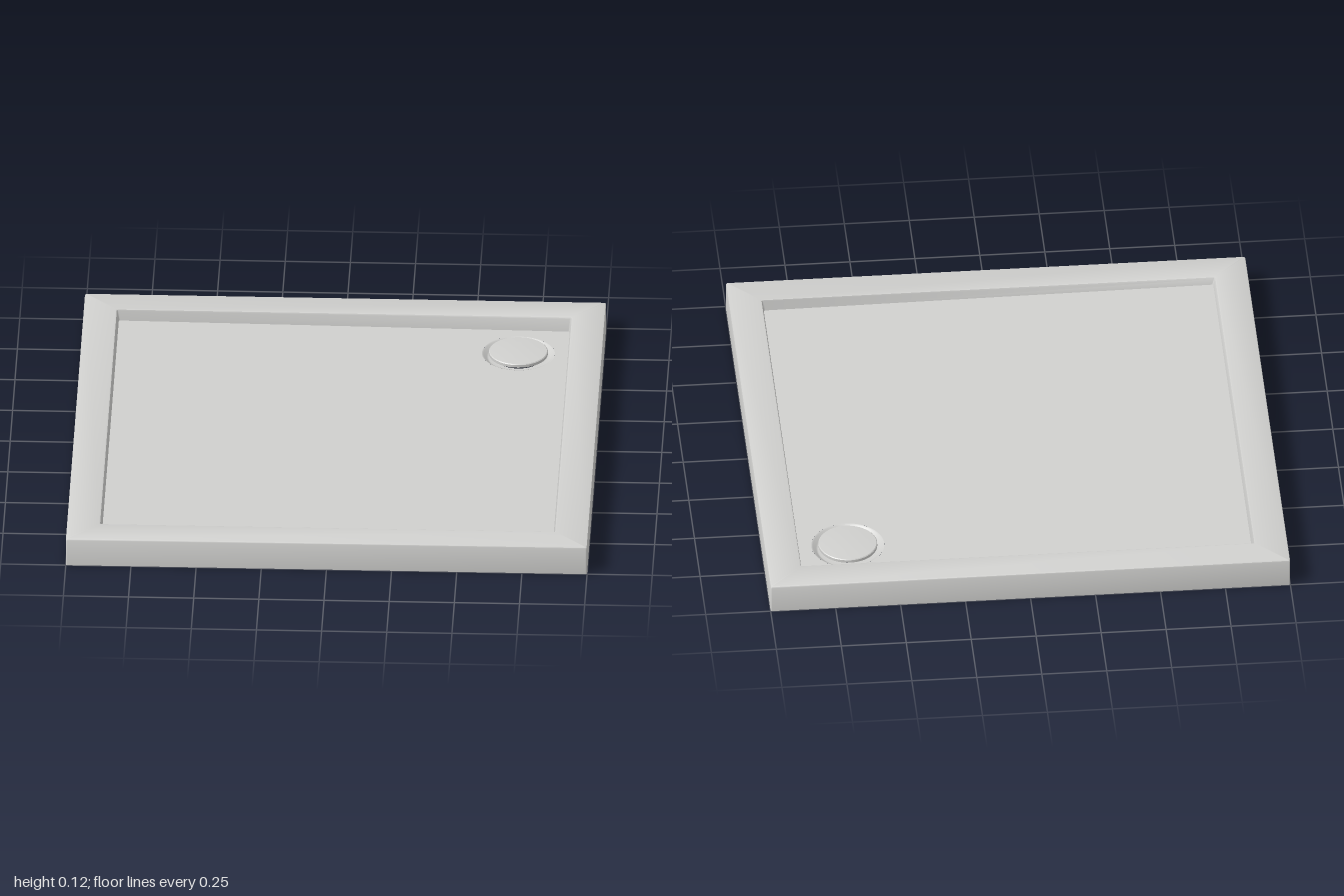
import * as THREE from 'three';
import { toCreasedNormals } from 'three/addons/utils/BufferGeometryUtils.js';

const DRAIN = { x: 0.675, z: -0.675 };

// The floor falls gently towards the drain corner
const floorY = (x, z) => 0.07 + 0.0085 * (z - x);

// Square loop with small rounded corners
function squareLoop(half, radius, heightAt) {
  const points = [];
  for (let corner = 0; corner < 4; corner++) {
    const mid = (corner + 0.5) * Math.PI / 2;
    const cx = Math.sign(Math.cos(mid)) * (half - radius);
    const cz = Math.sign(Math.sin(mid)) * (half - radius);
    for (let i = 0; i <= 4; i++) {
      const a = (corner + i / 4) * Math.PI / 2;
      const x = cx + radius * Math.cos(a), z = cz + radius * Math.sin(a);
      points.push([x, heightAt(x, z), z]);
    }
  }
  return points;
}

// Skin between successive loops
function skin(loops) {
  const n = loops[0].length, index = [];
  for (let r = 0; r < loops.length - 1; r++) {
    for (let j = 0; j < n; j++) {
      const k = (j + 1) % n;
      const a = r * n + j, b = r * n + k;
      index.push(a, a + n, b, b, a + n, b + n);
    }
  }
  const geometry = new THREE.BufferGeometry();
  geometry.setAttribute('position', new THREE.Float32BufferAttribute(loops.flat(2), 3));
  geometry.setIndex(index);
  return toCreasedNormals(geometry, 0.6);
}

export function createModel() {
  const group = new THREE.Group();
  const trayGrey = new THREE.MeshStandardMaterial({ color: 0xd0d0ce, side: THREE.DoubleSide });
  trayGrey.name = 'trayGrey';
  const drainBlack = new THREE.MeshStandardMaterial({ color: 0x303030 });
  drainBlack.name = 'drainBlack';

  const add = (name, geometry, material = trayGrey) => {
    const mesh = new THREE.Mesh(geometry, material);
    mesh.name = name;
    group.add(mesh);
    return mesh;
  };
  const lathe = (profile) => toCreasedNormals(
    new THREE.LatheGeometry(profile.map(([r, y]) => new THREE.Vector2(r, y)), 48), 0.6);

  // Outer wall, flat rim and inner step, open underneath
  const profile = [[1, 0], [1, 0.107], [0.998, 0.112], [0.993, 0.115], [0.878, 0.115], [0.873, 0.113], [0.871, 0.108]];
  const loops = profile.map(([half, y]) => squareLoop(half, 0.006, () => y));
  loops.push(squareLoop(0.865, 0.006, floorY));
  add('rim', skin(loops));

  // Sloping floor with a round opening
  const h = 0.865;
  const outline = new THREE.Shape([[-h, -h], [h, -h], [h, h], [-h, h]].map(([x, y]) => new THREE.Vector2(x, y)));
  const opening = new THREE.Path();
  opening.absarc(DRAIN.x, -DRAIN.z, 0.14, 0, Math.PI * 2, true);
  outline.holes.push(opening);
  const floor = new THREE.ShapeGeometry(outline, 48).rotateX(-Math.PI / 2);
  const p = floor.attributes.position;
  for (let i = 0; i < p.count; i++) p.setY(i, floorY(p.getX(i), p.getZ(i)));
  floor.computeVertexNormals();
  add('floor', floor);

  // Dished recess around the drain, its lip following the floor
  const recess = new THREE.LatheGeometry([[0.14, 0], [0.134, -0.002], [0.122, -0.014], [0.114, -0.018], [0.09, -0.018]]
    .map(([r, y]) => new THREE.Vector2(r, y)), 48);
  recess.translate(DRAIN.x, 0, DRAIN.z);
  const q = recess.attributes.position;
  for (let i = 0; i < q.count; i++) q.setY(i, q.getY(i) + floorY(q.getX(i), q.getZ(i)));
  recess.computeVertexNormals();
  add('drainRecess', recess);

  // Shallow domed cover over the drain
  const y = floorY(DRAIN.x, DRAIN.z);
  add('drainCover', lathe([[0.001, -0.002], [0.113, -0.002], [0.113, 0.009], [0.11, 0.012], [0.07, 0.015], [0, 0.016]]))
    .position.set(DRAIN.x, y, DRAIN.z);

  // Dark drain opening seen from below
  add('drainOpening', new THREE.CircleGeometry(0.095, 48).rotateX(Math.PI / 2), drainBlack)
    .position.set(DRAIN.x, y - 0.012, DRAIN.z);

  return group;
}
